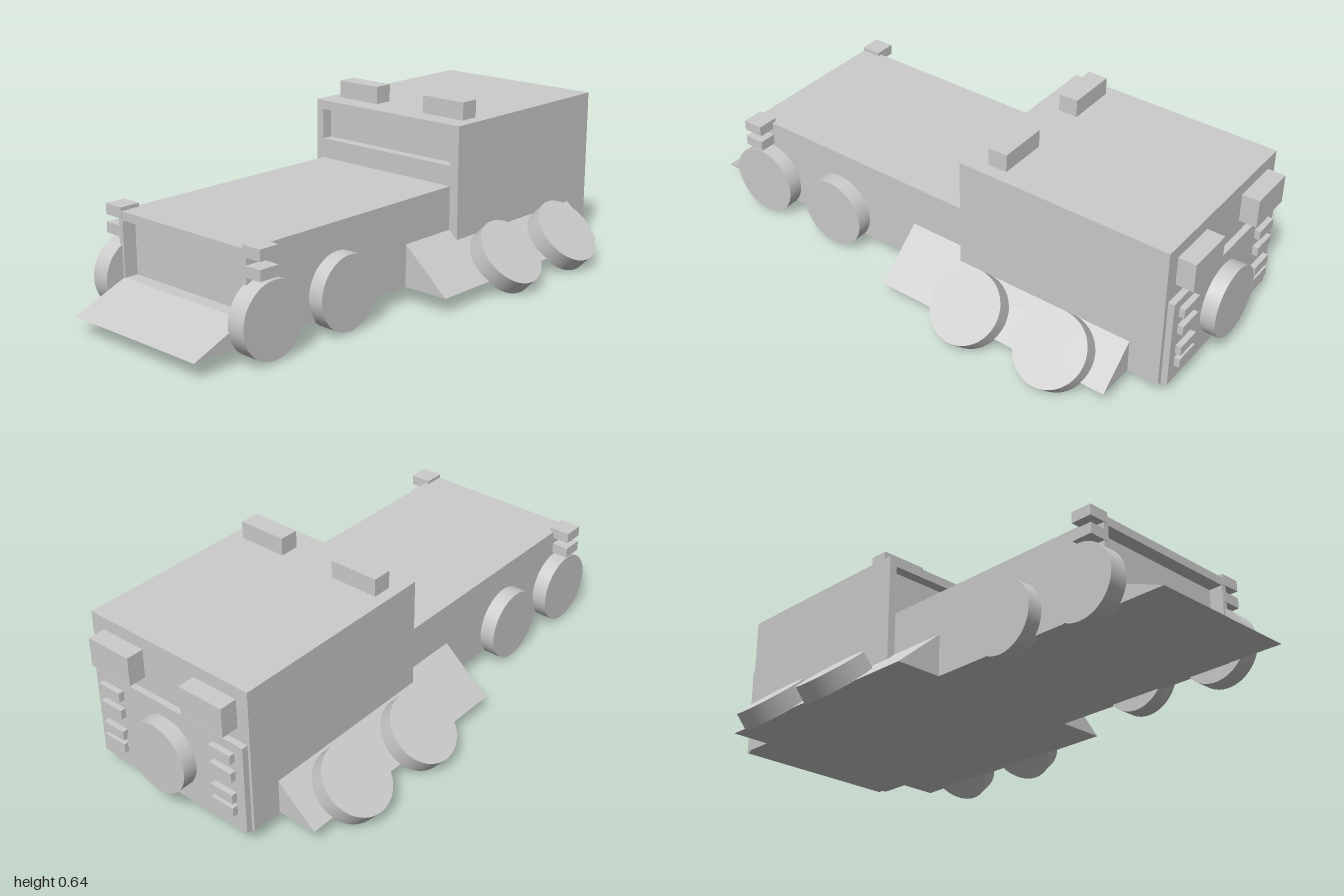
import * as THREE from 'three';

const material = new THREE.MeshStandardMaterial({ color: 0xcccccc });

export function createModel() {
  const model = new THREE.Group();

  const add = (name, geometry) => {
    const mesh = new THREE.Mesh(geometry, material);
    mesh.name = name;
    model.add(mesh);
    return mesh;
  };

  // Box given by its limits on each axis
  const box = (name, x0, x1, y0, y1, z0, z1) => {
    const mesh = add(name, new THREE.BoxGeometry(x1 - x0, y1 - y0, z1 - z0));
    mesh.position.set((x0 + x1) / 2, (y0 + y1) / 2, (z0 + z1) / 2);
    return mesh;
  };

  const polygon = (points) => new THREE.Shape(points.map(([x, y]) => new THREE.Vector2(x, y)));
  const rect = (w, y0, y1) => polygon([[-w, y0], [w, y0], [w, y1], [-w, y1]]);

  // Rectangular frame around a recess
  const frame = (name, outer, hole, z0, z1) => {
    outer.holes.push(hole);
    const geometry = new THREE.ExtrudeGeometry(outer, { depth: z1 - z0, bevelEnabled: false });
    add(name, geometry).position.z = z0;
  };

  // Wheel with its axle pointing along the given angle in the x-y plane
  const wheel = (name, x, y, z, angle, width) => {
    const mesh = add(name, new THREE.CylinderGeometry(0.128, 0.128, width, 48));
    mesh.position.set(x, y, z);
    mesh.rotation.z = angle - Math.PI / 2;
  };

  // Hood with recessed nose
  box('hood', -0.3, 0.3, 0.06, 0.365, -0.2, 0.75);
  frame('noseFrame', rect(0.3, 0.06, 0.365), rect(0.28, 0.14, 0.335), 0.75, 0.8);

  // Sloping front plough
  const plough = new THREE.ExtrudeGeometry(polygon([[0.8, 0.06], [1, 0.06], [0.8, 0.14]]),
    { depth: 0.57, bevelEnabled: false });
  plough.rotateY(-Math.PI / 2).translate(0.285, 0, 0);
  add('plough', plough);

  // Cab with recessed windscreen
  box('cab', -0.33, 0.335, 0.06, 0.58, -0.925, -0.19);
  frame('windscreenFrame', polygon([[-0.33, 0.06], [0.335, 0.06], [0.335, 0.58], [-0.33, 0.58]]),
    rect(0.3, 0.437, 0.547), -0.19, -0.15);

  // Rear panel and round hatch
  box('rearPanel', -0.32, 0.318, 0.06, 0.385, -0.947, -0.92);
  const hatch = add('rearHatch', new THREE.CylinderGeometry(0.126, 0.126, 0.06, 48));
  hatch.rotation.x = Math.PI / 2;
  hatch.position.set(0.01, 0.215, -0.97);

  for (const s of [-1, 1]) {
    const side = s > 0 ? 'left' : 'right';
    const pair = (name, a, b, ...rest) => box(side + name, Math.min(s * a, s * b), Math.max(s * a, s * b), ...rest);

    pair('RoofBox', 0.108, 0.288, 0.57, 0.643, -0.3, -0.23);
    pair('RearBox', 0.11, 0.283, 0.432, 0.535, -0.987, -0.92);

    // Stacked front lamps
    pair('UpperFrontLamp', 0.285, 0.362, 0.34, 0.378, 0.727, 0.802);
    pair('LowerFrontLamp', 0.285, 0.362, 0.278, 0.315, 0.727, 0.802);

    // Column of rear lamps
    for (const y of [0.335, 0.268, 0.185, 0.135]) {
      pair('RearLamp', 0.195, 0.285, y - 0.017, y + 0.017, -0.967, -0.94);
    }

    // Sloping side skirt
    const skirt = s > 0
      ? polygon([[0.28, 0.06], [0.473, 0.06], [0.3, 0.21], [0.28, 0.21]])
      : polygon([[-0.28, 0.06], [-0.28, 0.21], [-0.3, 0.21], [-0.473, 0.06]]);
    add(side + 'Skirt', new THREE.ExtrudeGeometry(skirt, { depth: 0.89, bevelEnabled: false }))
      .position.z = -0.813;

    // Upright front wheels, splayed rear wheels
    for (const z of [0.74, 0.41]) wheel(side + 'FrontWheel', s * 0.322, 0.14, z, 0, 0.068);
    for (const z of [-0.275, -0.61]) {
      wheel(side + 'RearWheel', s * 0.453, 0.117, z, s > 0 ? Math.PI * 0.25 : Math.PI * 0.722, 0.067);
    }
  }

  return model;
}
